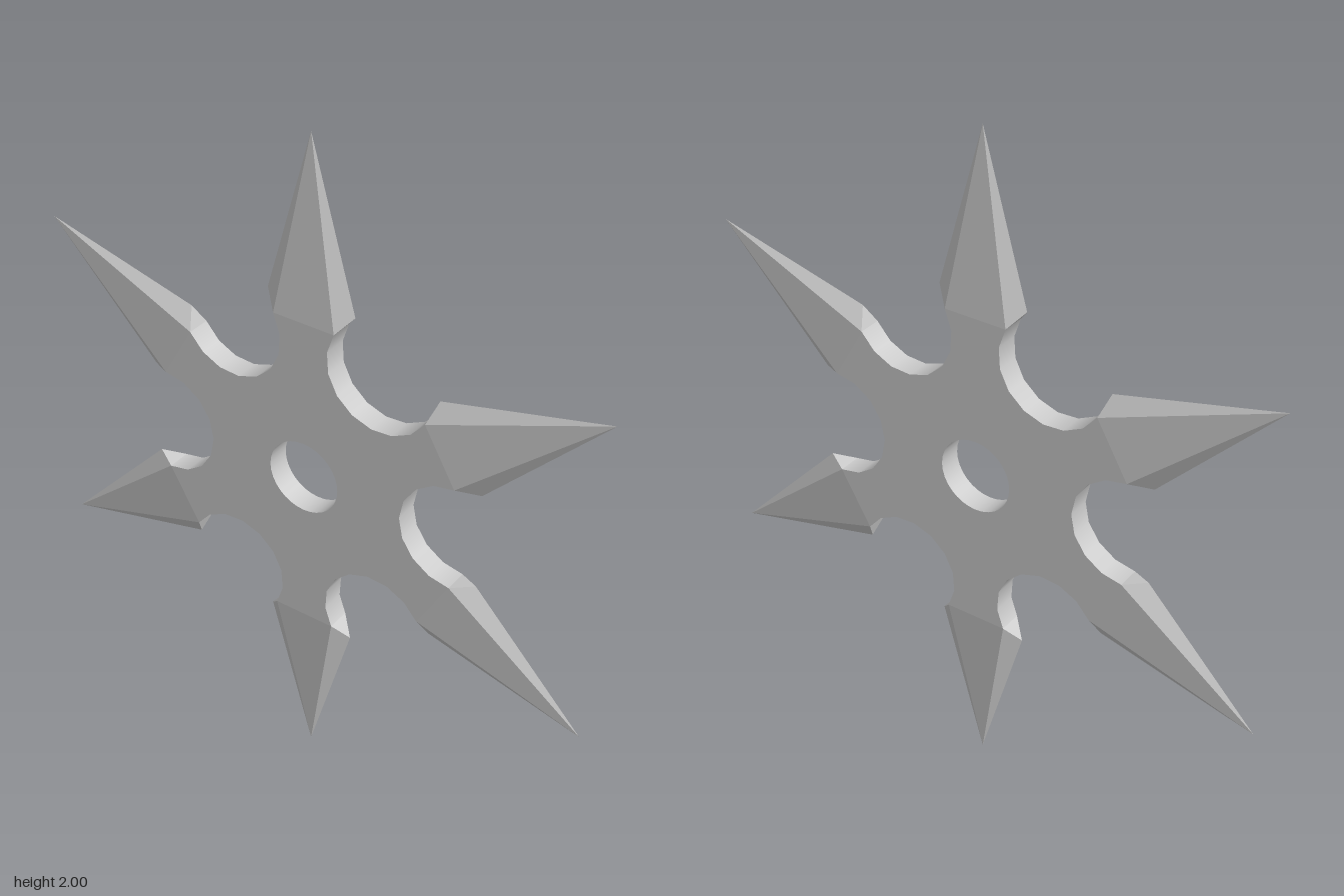
import * as THREE from 'three';

const ARMS = 6;
const H = 0.035;          // half thickness
const HOLE = 0.11;        // centre hole radius
const NOTCH_X = 0.465;    // distance of each scallop's centre from the hub centre
const NOTCH_R = 0.16;     // scallop radius
const STEP = Math.PI / 8; // scallop facet angle

const steel = new THREE.MeshStandardMaterial({ color: 0xcccccc });
const facetedSteel = new THREE.MeshStandardMaterial({ color: 0xcccccc, flatShading: true });

// point on the scallop that opens towards +x
const notchPoint = (t) => new THREE.Vector2(NOTCH_X + NOTCH_R * Math.cos(t), NOTCH_R * Math.sin(t));

// flat hub face: six scallops joined by straight blade roots, with a round hole
function hubFace() {
  const points = [];
  for (let k = 0; k < ARMS; k++) {
    for (let i = 0; i <= 8; i++) {
      points.push(notchPoint(1.5 * Math.PI - i * STEP).rotateAround(new THREE.Vector2(), k * Math.PI / 3));
    }
  }
  const shape = new THREE.Shape(points);
  shape.holes.push(new THREE.Path().absarc(0, 0, HOLE, 0, Math.PI * 2, true));
  return new THREE.ShapeGeometry(shape, 16);
}

// inward-facing cylindrical wall around the z axis
function innerWall(radius, segments, start, length) {
  const profile = [new THREE.Vector2(radius, H), new THREE.Vector2(radius, -H)];
  return new THREE.LatheGeometry(profile, segments, start, length).rotateX(Math.PI / 2);
}

// blade pointing up +y: tapered faces, bevelled sides and angled shoulders
function bladeGeometry() {
  // the scallop at 60 degrees ends on the blade's +x side
  const toArm = (p) => p.rotateAround(new THREE.Vector2(), Math.PI / 3);
  const root = toArm(notchPoint(Math.PI / 2));
  const barb = toArm(notchPoint(3 * STEP));
  const mid = [0, root.y, H];
  const edge = [root.x, root.y, H];
  const inner = [root.x, root.y, 0];
  const corner = [barb.x, barb.y, 0];
  const tip = [0, 1, 0];
  const quarter = [[mid, edge, tip], [edge, corner, tip], [edge, inner, corner]];

  const positions = [];
  for (const sx of [1, -1]) {
    for (const sz of [1, -1]) {
      for (const [a, b, c] of quarter) {
        const triangle = sx * sz > 0 ? [a, b, c] : [a, c, b];
        for (const [x, y, z] of triangle) positions.push(x * sx, y, z * sz);
      }
    }
  }
  const geometry = new THREE.BufferGeometry();
  geometry.setAttribute('position', new THREE.Float32BufferAttribute(positions, 3));
  geometry.computeVertexNormals();
  return geometry;
}

export function createModel() {
  const star = new THREE.Group();
  star.name = 'throwingStar';

  const add = (name, geometry, material = steel) => {
    const mesh = new THREE.Mesh(geometry, material);
    mesh.name = name;
    star.add(mesh);
    return mesh;
  };

  // hub
  add('hubFront', hubFace().translate(0, 0, H));
  add('hubBack', hubFace().rotateY(Math.PI).translate(0, 0, -H));
  add('centreHole', innerWall(HOLE, 32, 0, Math.PI * 2));

  // blades and the scallops between them
  const blade = bladeGeometry();
  const scallop = innerWall(NOTCH_R, 8, Math.PI, Math.PI).translate(NOTCH_X, 0, 0);
  for (let k = 0; k < ARMS; k++) {
    add('blade' + (k + 1), blade, facetedSteel).rotation.z = k * Math.PI / 3;
    add('scallop' + (k + 1), scallop).rotation.z = k * Math.PI / 3;
  }

  // stand the lowest tip on the ground
  star.children.forEach((part) => { part.position.y = 1; });
  return star;
}
